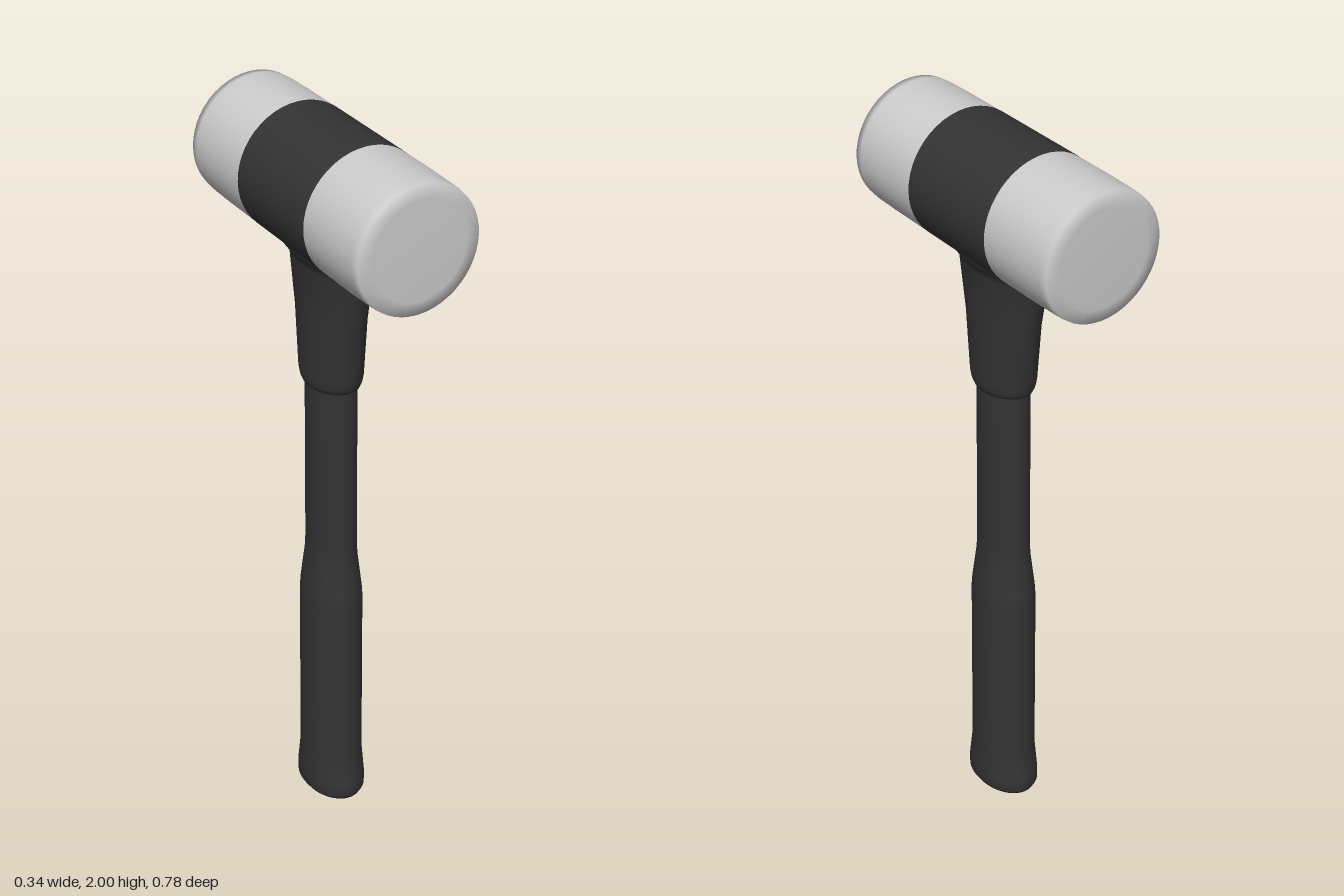
import * as THREE from 'three';
import { mergeVertices } from 'three/addons/utils/BufferGeometryUtils.js';

const SIDES = 48;
const dark = new THREE.MeshStandardMaterial({ color: 0x333333 });
const pale = new THREE.MeshStandardMaterial({ color: 0xcccccc });

// Smooth loft through oval sections [y, radiusX, radiusZ], listed bottom to top
function ovalLoft(sections) {
  const profile = sections.map(([y, rx]) => new THREE.Vector2(rx, y));
  const geo = new THREE.LatheGeometry(profile, SIDES);
  const pos = geo.attributes.position;
  for (let i = 0; i < pos.count; i++) {
    const [, rx, rz] = sections[i % sections.length];
    if (rx > 0) pos.setZ(i, pos.getZ(i) * rz / rx);
  }
  geo.deleteAttribute('normal');
  geo.deleteAttribute('uv');
  const welded = mergeVertices(geo, 1e-5);
  welded.computeVertexNormals();
  return welded;
}

// Lathe around the z axis from [radius, z] points, listed back to front
function latheZ(points) {
  const profile = points.map(([r, z]) => new THREE.Vector2(r, z));
  return new THREE.LatheGeometry(profile, SIDES).rotateX(Math.PI / 2);
}

export function createModel() {
  const model = new THREE.Group();
  const add = (name, geo, material, parent = model) => {
    const mesh = new THREE.Mesh(geo, material);
    mesh.name = name;
    parent.add(mesh);
    return mesh;
  };

  // Handle: flared butt, thick grip, slimmer shaft
  add('handle', ovalLoft([
    [0, 0, 0], [0, 0.055, 0.085], [0.008, 0.073, 0.105], [0.022, 0.082, 0.113],
    [0.05, 0.083, 0.113], [0.09, 0.081, 0.107], [0.14, 0.078, 0.1],
    [0.65, 0.077, 0.099], [0.68, 0.075, 0.097], [0.78, 0.064, 0.083],
    [0.82, 0.062, 0.081], [1.35, 0.061, 0.08],
  ]), dark);

  // Collar widening from the shaft into the head
  add('collar', ovalLoft([
    [1.298, 0.058, 0.078], [1.302, 0.067, 0.09], [1.315, 0.072, 0.096],
    [1.335, 0.075, 0.1], [1.5, 0.076, 0.12], [1.64, 0.078, 0.151],
    [1.665, 0.091, 0.155], [1.69, 0.11, 0.155], [1.74, 0.12, 0.155],
  ]), dark);

  // Head: dark centre band with two pale striking faces
  const head = new THREE.Group();
  head.name = 'head';
  head.position.y = 1.829;
  model.add(head);
  add('headBand', latheZ([
    [0.16, -0.156], [0.1705, -0.156], [0.1715, -0.15], [0.1715, 0.15], [0.1705, 0.156], [0.16, 0.156],
  ]), dark, head);
  for (const [name, turn] of [['frontFace', 0], ['backFace', Math.PI]]) {
    const face = add(name, latheZ([
      [0.171, 0.145], [0.171, 0.28], [0.1695, 0.36], [0.167, 0.383], [0.13, 0.388], [0, 0.388],
    ]), pale, head);
    face.rotation.y = turn;
  }
  return model;
}
